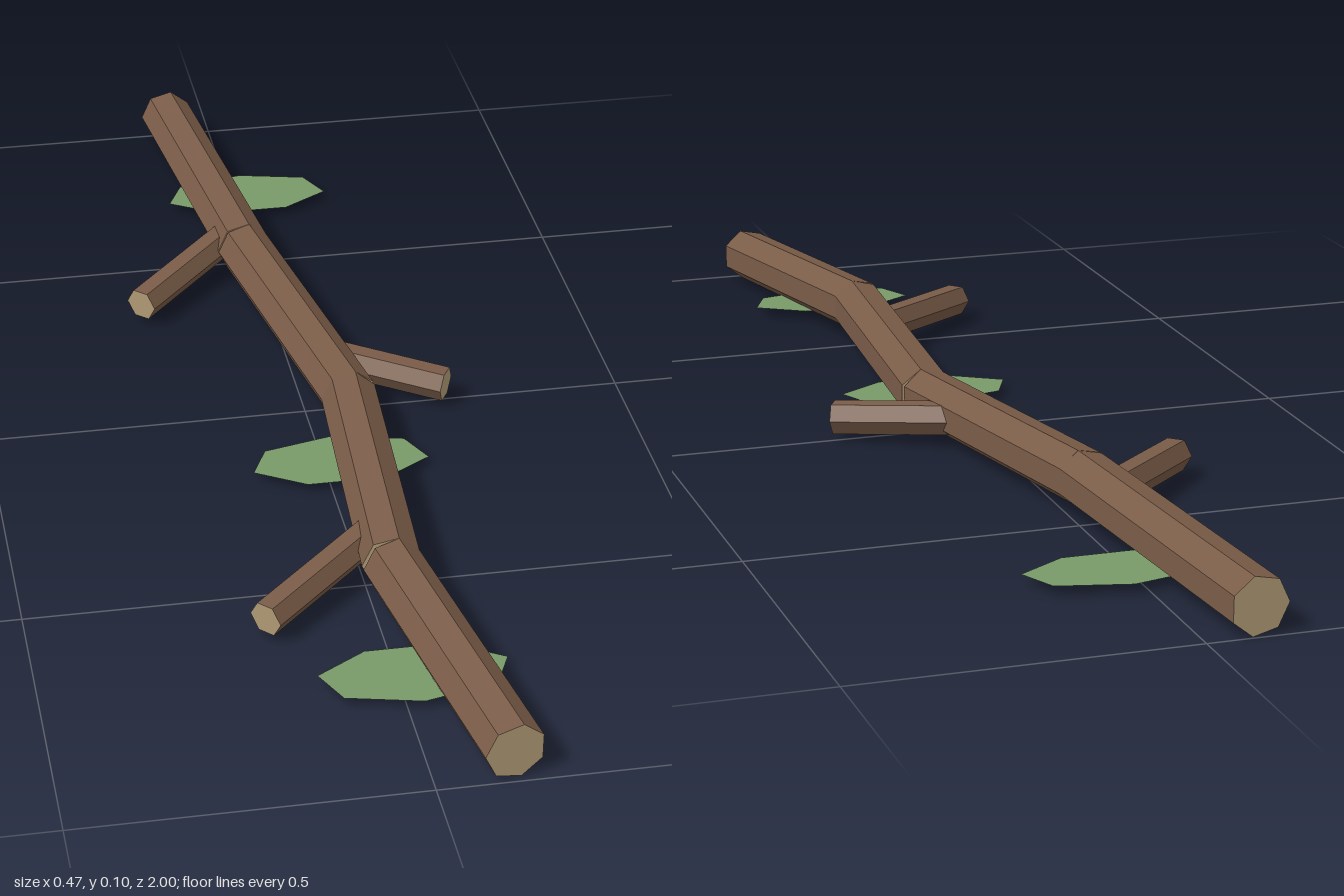
import * as THREE from 'three';

const bark = new THREE.MeshStandardMaterial({ color: 0x7a5c48, flatShading: true });
const cutWood = new THREE.MeshStandardMaterial({ color: 0xb49d78, flatShading: true });
const leafGreen = new THREE.MeshStandardMaterial({ color: 0x789a68, flatShading: true, side: THREE.DoubleSide });

// Faceted log between two points, with bark around it and bare wood at the ends
function log(name, from, to, radius, sides) {
  const a = new THREE.Vector3(...from);
  const b = new THREE.Vector3(...to);
  const geometry = new THREE.CylinderGeometry(radius, radius, a.distanceTo(b), sides, 1, false, -Math.PI / 2);
  geometry.rotateX(Math.PI / 2); // run along z, one corner towards -x
  const mesh = new THREE.Mesh(geometry, [bark, cutWood, cutWood]);
  mesh.name = name;
  mesh.position.copy(a).add(b).multiplyScalar(0.5);
  mesh.lookAt(b);
  return mesh;
}

export function createModel() {
  const group = new THREE.Group();
  group.name = 'branch';

  // Crooked main stem, back to front
  const stem = [
    [-0.077, 0.044, -0.996],
    [-0.024, 0.056, -0.45],
    [0.062, 0.047, 0.043],
    [0.031, 0.06, 0.54],
    [0.11, 0.044, 0.991],
  ];
  for (let i = 0; i < stem.length - 1; i++) {
    group.add(log('stemSegment' + (i + 1), stem[i], stem[i + 1], 0.044, 7));
  }

  // Short side twigs
  const twigs = [
    [[-0.03, 0.052, -0.52], [-0.214, 0.035, -0.325]],
    [[0.05, 0.047, -0.09], [0.222, 0.035, 0.012]],
    [[0.03, 0.052, 0.43], [-0.165, 0.035, 0.61]],
  ];
  twigs.forEach(([from, to], i) => group.add(log('twig' + (i + 1), from, to, 0.027, 6)));

  // Flat seven-sided leaves under the stem; the front one is mirrored
  const leaves = [[-0.722, -1], [0.173, -1], [0.747, 1]];
  leaves.forEach(([z, tip], i) => {
    const geometry = new THREE.CircleGeometry(1, 7, Math.PI / 2);
    geometry.rotateX(-Math.PI / 2); // first corner points to -z
    if (tip > 0) geometry.rotateY(Math.PI);
    geometry.scale(0.139, 1, 0.07);
    const leaf = new THREE.Mesh(geometry, leafGreen);
    leaf.name = 'leaf' + (i + 1);
    leaf.position.set(0.023, 0.015, z);
    group.add(leaf);
  });

  return group;
}
